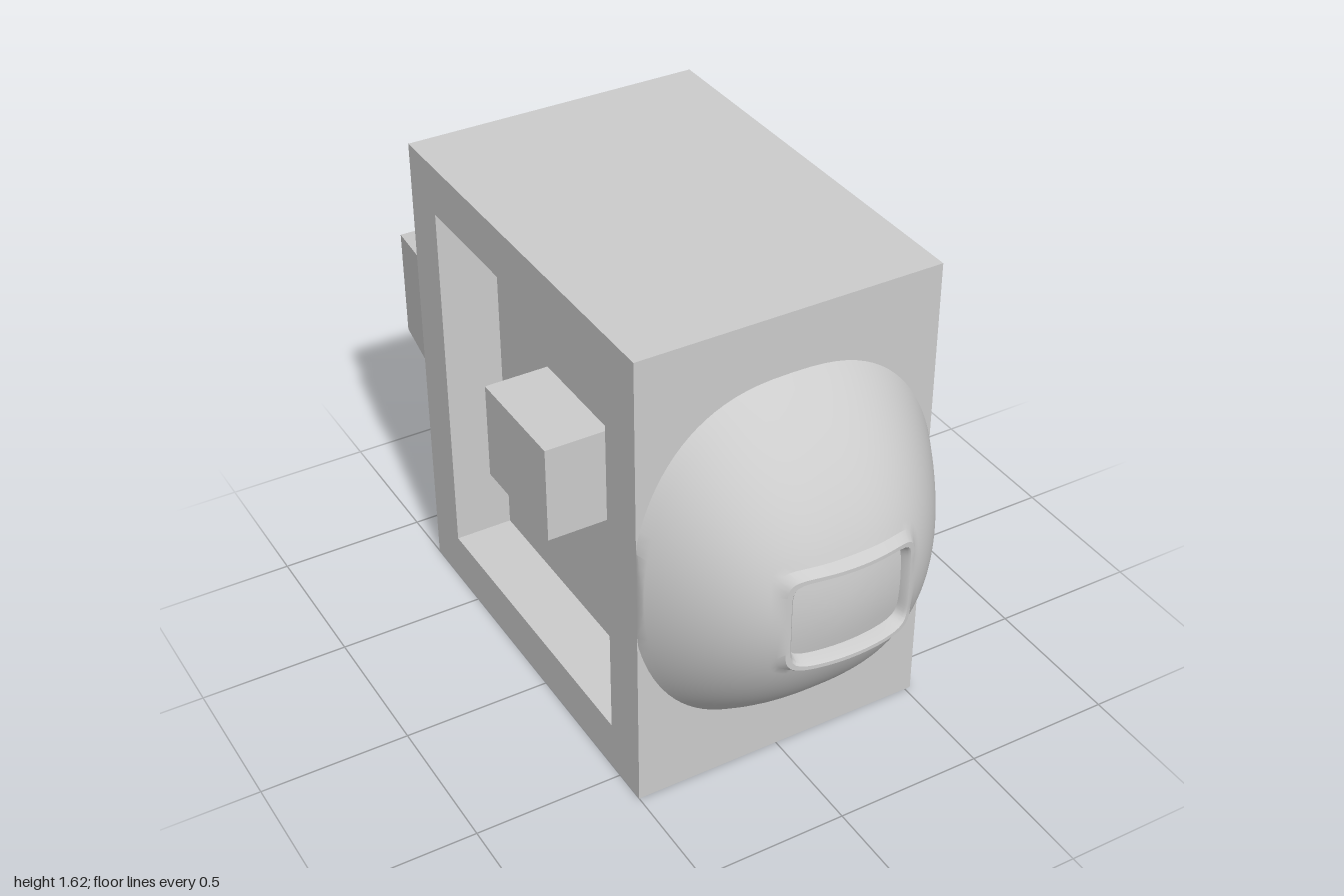
import * as THREE from 'three';
import { toCreasedNormals } from 'three/addons/utils/BufferGeometryUtils.js';

const mat = new THREE.MeshStandardMaterial({ color: 0xcccccc });
const CX = 0.012, CY = 0.81, FRONT = 0.62;
const LEFT = 0.52, RIGHT = -0.5, TOP = 1.62, BACK = -0.81;

function add(group, name, geometry) {
  const mesh = new THREE.Mesh(geometry, mat);
  mesh.name = name;
  group.add(mesh);
  return mesh;
}

// Box given by its lower and upper corners
function box(x0, x1, y0, y1, z0, z1) {
  return new THREE.BoxGeometry(x1 - x0, y1 - y0, z1 - z0)
    .translate((x0 + x1) / 2, (y0 + y1) / 2, (z0 + z1) / 2);
}

// Flat slab with a rectangular opening
function slab(outer, hole, depth) {
  const rect = ([x0, x1, y0, y1]) => [[x0, y0], [x1, y0], [x1, y1], [x0, y1]]
    .map(([x, y]) => new THREE.Vector2(x, y));
  const shape = new THREE.Shape(rect(outer));
  shape.holes.push(new THREE.Path(rect(hole).reverse()));
  return new THREE.ExtrudeGeometry(shape, { depth, bevelEnabled: false });
}

// Peg that narrows towards the back
function peg(x) {
  const geo = new THREE.BoxGeometry(0.26, 0.4, 0.17);
  const p = geo.attributes.position;
  for (let i = 0; i < p.count; i++) {
    if (p.getZ(i) < 0) p.setXY(i, p.getX(i) * 0.85, p.getY(i) * 0.92);
  }
  geo.translate(x, 1.015, BACK - 0.085);
  geo.computeVertexNormals();
  return geo;
}

// Bulging front with a raised rim around a shallow window, lofted in rings
function bulge() {
  const N = 96, rings = [];
  const domeZ = (x, y) => {
    const rx = Math.pow(Math.abs(x - CX) / 0.53, 1.3), ry = (y - CY) / 0.605;
    return FRONT + 0.38 * Math.max(0, 1 - rx * rx - ry * ry);
  };
  const rimZ = (x) => 1 - 0.8 * (x - CX) ** 2;
  const floorZ = (x, y) => 0.97 - 0.8 * (x - CX) ** 2 - 0.7 * (y - CY) ** 2;
  const window = (a, b) => (t) => {
    const c = Math.cos(t), s = Math.sin(t);
    const k = Math.pow(Math.abs(c) ** 8 + Math.abs(s) ** 8, -1 / 8);
    return [CX + a * c * k, CY + b * s * k];
  };
  const outline = (t) => {
    const c = Math.cos(t);
    return [CX + 0.53 * Math.sign(c) * Math.pow(Math.abs(c), 1 / 1.3), CY + 0.605 * Math.sin(t)];
  };
  const ring = (at, height) => rings.push(Array.from({ length: N }, (_, j) => {
    let [x, y] = at((j / N) * Math.PI * 2);
    x = Math.min(LEFT, Math.max(RIGHT, x));
    return [x, y, height(x, y)];
  }));

  // Window floor, wall and rim
  for (const k of [0, 0.35, 0.7, 1]) ring(window(0.19 * k, 0.14 * k), floorZ);
  ring(window(0.198, 0.15), (x) => rimZ(x) - 0.008);
  ring(window(0.204, 0.155), rimZ);
  ring(window(0.218, 0.168), rimZ);
  // Dome from the rim to its outer edge
  const foot = window(0.235, 0.185);
  for (let i = 0; i <= 14; i++) {
    const s = i / 14;
    ring((t) => {
      const a = foot(t), b = outline(t);
      return [a[0] + (b[0] - a[0]) * s, a[1] + (b[1] - a[1]) * s];
    }, domeZ);
  }
  // Short skirt where the dome meets the side walls
  ring(outline, () => FRONT);

  const index = [];
  for (let i = 0; i < rings.length - 1; i++) {
    for (let j = 0; j < N; j++) {
      const k = (j + 1) % N, a = i * N, b = a + N;
      index.push(a + j, b + j, b + k, a + j, b + k, a + k);
    }
  }
  const geo = new THREE.BufferGeometry();
  geo.setAttribute('position', new THREE.Float32BufferAttribute(rings.flat(2), 3));
  geo.setIndex(index);
  return toCreasedNormals(geo, 0.55);
}

export function createModel() {
  const model = new THREE.Group();
  model.name = 'model';

  // Body: solid core, notched back wall and framed side wall
  const body = new THREE.Group();
  body.name = 'body';
  model.add(body);
  add(body, 'core', box(-0.3, LEFT, 0, TOP, -0.61, FRONT));
  add(body, 'backWall', slab([-0.3, LEFT, 0, TOP], [-0.24, 0.01, 0.4, 0.815], 0.2)
    .translate(0, 0, BACK));
  add(body, 'sideFrame', slab([BACK, FRONT, 0, TOP], [-0.64, 0.45, 0.17, 1.45], 0.2)
    .rotateY(-Math.PI / 2).translate(-0.3, 0, 0));

  // Block standing in the side recess
  add(model, 'sideBlock', box(-0.52, -0.3, 0.67, 1.01, -0.3, 0.1));

  // Back details
  add(model, 'backFoot', box(0.01, LEFT, 0, 0.4, -1, BACK));
  [-0.37, 0.14].forEach((x, i) => add(model, i ? 'leftPeg' : 'rightPeg', peg(x)));

  add(model, 'frontBulge', bulge());
  return model;
}
